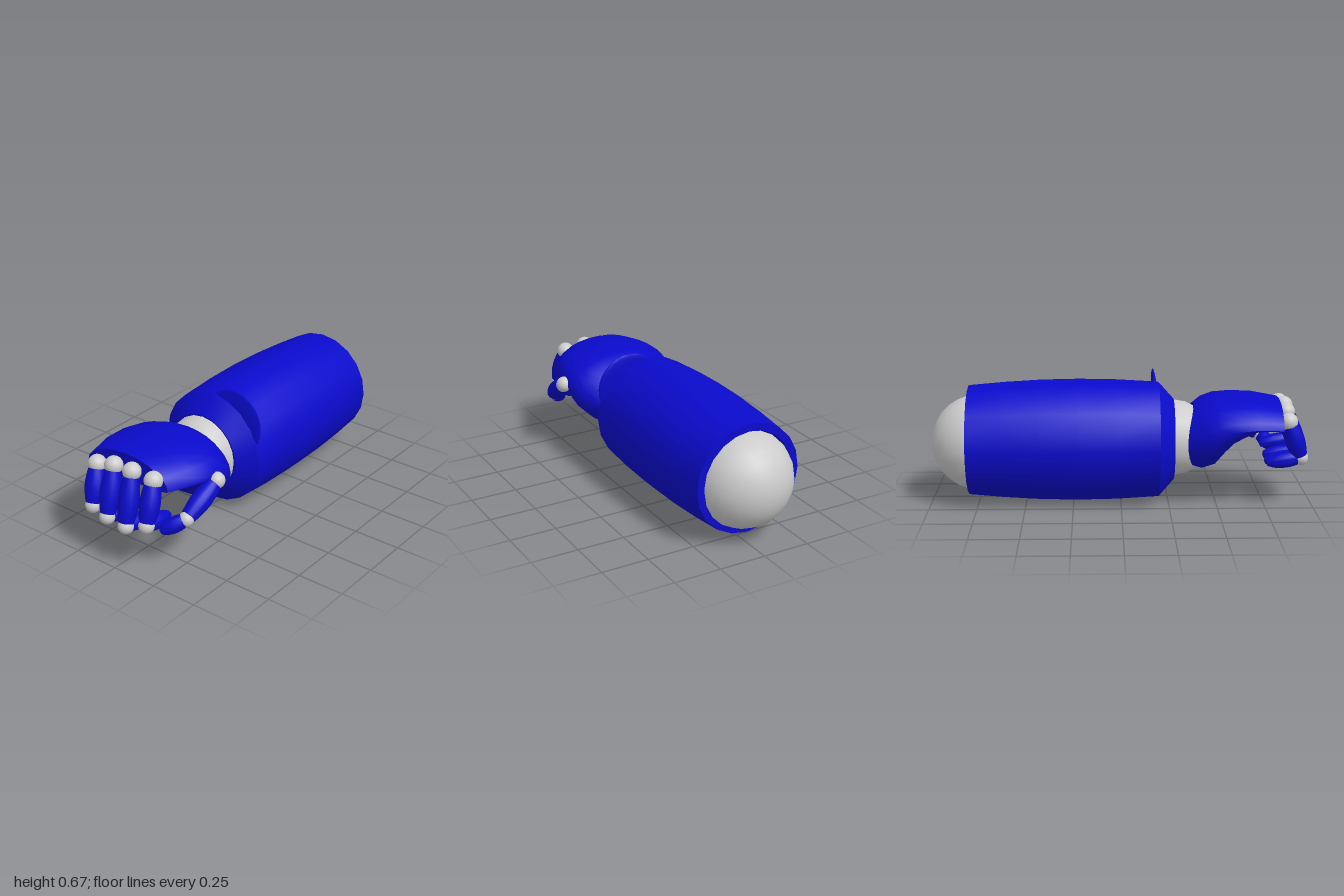
import * as THREE from 'three';
import { toCreasedNormals } from 'three/addons/utils/BufferGeometryUtils.js';

const blue = new THREE.MeshStandardMaterial({ color: 0x0a0acc });
const grey = new THREE.MeshStandardMaterial({ color: 0xcccccc });
const UP = new THREE.Vector3(0, 1, 0);

function add(parent, name, geometry, material, position = [0, 0, 0]) {
  const mesh = new THREE.Mesh(geometry, material);
  mesh.name = name;
  mesh.position.set(...position);
  parent.add(mesh);
  return mesh;
}

// Lathe around the z axis; profile points are [radius, z]
function latheZ(profile, sides = 20) {
  const g = new THREE.LatheGeometry(profile.map(([r, z]) => new THREE.Vector2(r, z)), sides);
  g.rotateX(Math.PI / 2);
  return toCreasedNormals(g, 0.5);
}

const ball = (parent, name, p, r) =>
  add(parent, name, new THREE.SphereGeometry(r, 20, 14), grey, p);

// Round segment from a to b; profile points are [radius, fraction of length]
function segment(parent, name, a, b, profile) {
  const start = new THREE.Vector3(...a);
  const dir = new THREE.Vector3(...b).sub(start);
  const length = dir.length();
  const pts = profile.map(([r, t]) => new THREE.Vector2(r, t * length));
  const mesh = add(parent, name, toCreasedNormals(new THREE.LatheGeometry(pts, 18), 0.8), blue, a);
  mesh.quaternion.setFromUnitVectors(UP, dir.normalize());
}

const BARREL = [[0, 0.1], [0.041, 0.1], [0.047, 0.25], [0.052, 0.45], [0.051, 0.62], [0.045, 0.8], [0.039, 0.93], [0, 0.93]];
const TIP = [[0, 0.1], [0.034, 0.1], [0.041, 0.3], [0.041, 0.55], [0.033, 0.8], [0.019, 0.97], [0, 1]];

// Palm: rings along z, each [z, xMin, xMax, top, bottom, height of widest point, z bulge]
function palmGeometry() {
  const rings = [
    [0.345, -0.25, 0.18, 0.52, 0.19, 0.34, 0.04],
    [0.42, -0.30, 0.265, 0.55, 0.175, 0.37, 0.01],
    [0.49, -0.335, 0.295, 0.57, 0.20, 0.40, 0],
    [0.58, -0.345, 0.295, 0.576, 0.32, 0.43, 0],
    [0.70, -0.34, 0.28, 0.572, 0.405, 0.44, 0],
    [0.83, -0.31, 0.21, 0.553, 0.41, 0.43, 0],
  ];
  const n = 24, pos = [], idx = [];
  for (const [z, x0, x1, top, bot, mid, bulge] of rings) {
    for (let i = 0; i < n; i++) {
      const t = (i / n) * Math.PI * 2, s = Math.sin(t), c = Math.cos(t);
      pos.push((x0 + x1) / 2 + c * (x1 - x0) / 2, mid + s * (s > 0 ? top - mid : mid - bot), z + bulge * s * s);
    }
  }
  for (let k = 0; k < rings.length - 1; k++) {
    for (let i = 0; i < n; i++) {
      const a = k * n + i, b = k * n + (i + 1) % n;
      idx.push(a, b, b + n, a, b + n, a + n);
    }
  }
  // End caps
  const last = (rings.length - 1) * n, centre = rings.length * n;
  pos.push(-0.035, 0.35, 0.36, -0.05, 0.46, 0.82);
  for (let i = 0; i < n; i++) {
    const j = (i + 1) % n;
    idx.push(centre, j, i, centre + 1, last + i, last + j);
  }
  const g = new THREE.BufferGeometry();
  g.setAttribute('position', new THREE.Float32BufferAttribute(pos, 3));
  g.setIndex(idx);
  return toCreasedNormals(g, 0.8);
}

export function createModel() {
  const model = new THREE.Group();
  model.name = 'armouredForearm';

  // Forearm sleeve with rims turned in at both ends
  const axis = [-0.028, 0.327, 0];
  add(model, 'forearmSleeve', latheZ([
    [0.24, -0.77], [0.25, -0.80], [0.29, -0.80], [0.306, -0.62], [0.318, -0.42], [0.322, -0.22],
    [0.318, -0.02], [0.305, 0.2], [0.215, 0.28], [0.18, 0.28],
  ]), blue, axis);

  // Elbow ball and tapered wrist
  const elbow = add(model, 'elbow', new THREE.SphereGeometry(0.255, 20, 14), grey, [-0.028, 0.315, -0.745]);
  elbow.rotation.x = Math.PI / 2;
  add(model, 'wrist', latheZ([[0, 0.2], [0.2, 0.2], [0.2, 0.29], [0.19, 0.345], [0.17, 0.385], [0.14, 0.42], [0, 0.42]]),
    grey, [-0.025, 0.335, 0]);

  // Thin round guard on the top of the sleeve
  const guard = add(model, 'wristGuard', new THREE.SphereGeometry(0.178, 20, 14), blue, [0.098, 0.502, 0.188]);
  guard.scale.z = 0.1;
  guard.rotation.x = -0.08;

  const hand = new THREE.Group();
  hand.name = 'hand';
  model.add(hand);
  add(hand, 'palm', palmGeometry(), blue);

  // Curled fingers: knuckle, middle joint, tip
  const fingers = [
    [[-0.215, 0.458, 0.865], [-0.19, 0.262, 0.935], [-0.19, 0.235, 0.755]],
    [[-0.103, 0.488, 0.865], [-0.082, 0.245, 0.95], [-0.075, 0.215, 0.76]],
    [[0.02, 0.498, 0.87], [0.044, 0.24, 0.955], [0.04, 0.22, 0.765]],
    [[0.147, 0.488, 0.86], [0.165, 0.282, 0.94], [0.15, 0.255, 0.76]],
  ];
  fingers.forEach(([knuckle, joint, tip], i) => {
    const finger = new THREE.Group();
    finger.name = `finger${i + 1}`;
    hand.add(finger);
    ball(finger, 'knuckle', knuckle, 0.047);
    segment(finger, 'upperFinger', knuckle, joint, BARREL);
    ball(finger, 'fingerJoint', joint, 0.04);
    segment(finger, 'fingertip', joint, tip, TIP);
  });

  // Thumb
  const thumb = new THREE.Group();
  thumb.name = 'thumb';
  hand.add(thumb);
  const base = [0.297, 0.41, 0.57], joint = [0.274, 0.28, 0.775];
  ball(thumb, 'thumbKnuckle', base, 0.043);
  segment(thumb, 'upperThumb', base, joint, BARREL);
  ball(thumb, 'thumbJoint', joint, 0.038);
  segment(thumb, 'thumbTip', joint, [0.178, 0.215, 0.86], TIP);

  return model;
}
